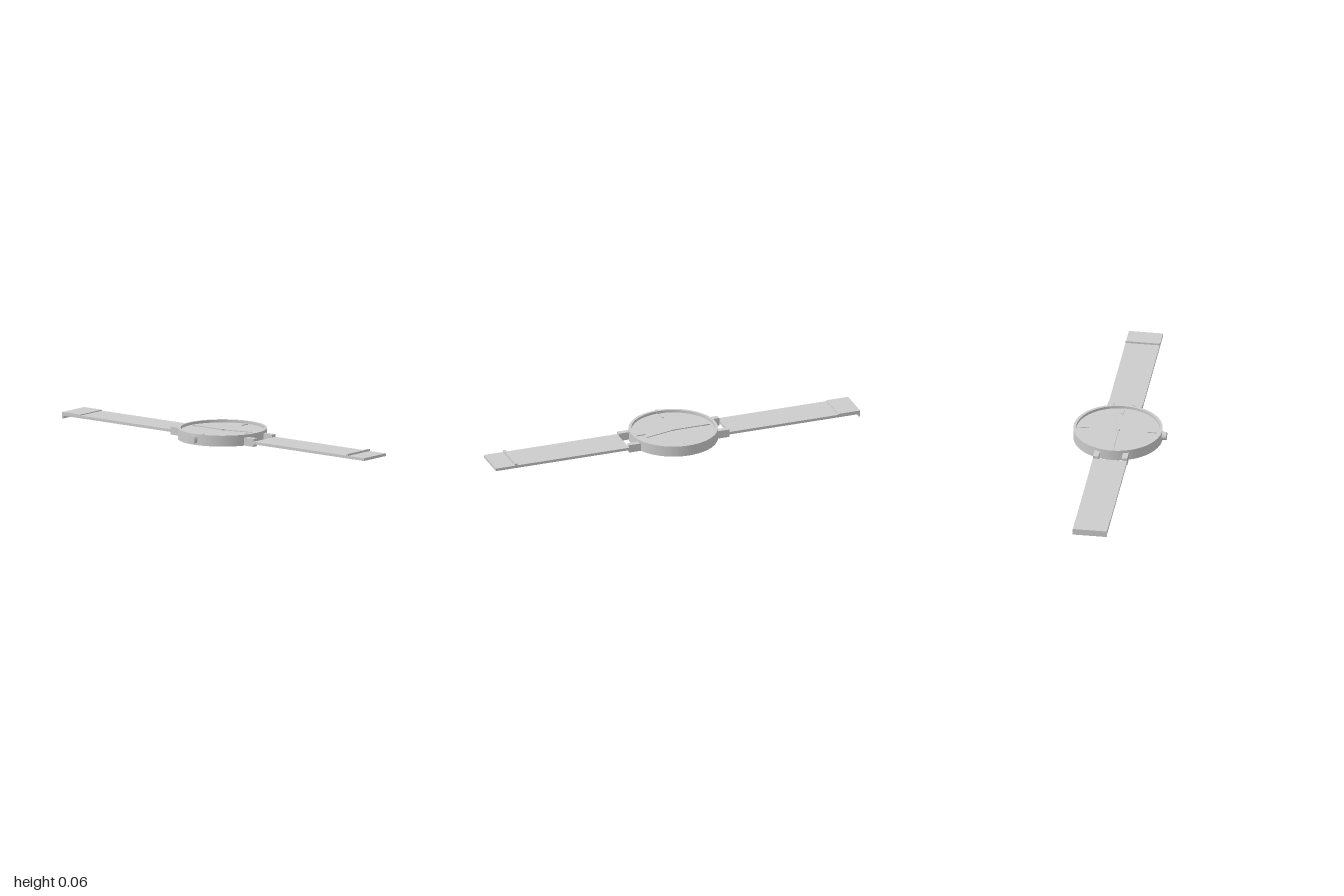
import * as THREE from 'three';

const CX = 0.01, CZ = -0.008;   // centre of the watch case
const DIAL = 0.043;             // height of the dial face

export function createModel() {
  const watch = new THREE.Group();
  watch.name = 'wristwatch';
  const grey = new THREE.MeshStandardMaterial({ color: 0xcccccc });

  const add = (name, geometry, x, y, z, parent = watch) => {
    const mesh = new THREE.Mesh(geometry, grey);
    mesh.name = name;
    mesh.position.set(x, y, z);
    parent.add(mesh);
    return mesh;
  };
  // box given by its limits along each axis
  const box = (name, x0, x1, y0, y1, z0, z1, parent) =>
    add(name, new THREE.BoxGeometry(x1 - x0, y1 - y0, z1 - z0),
      (x0 + x1) / 2, (y0 + y1) / 2, (z0 + z1) / 2, parent);

  // case: solid body with a raised rim around a recessed dial;
  // each straight run is its own lathe so the edges stay sharp
  const profile = [[0, 0], [0.23, 0], [0.23, 0.057], [0.216, 0.057], [0.216, DIAL], [0, DIAL]];
  const caseGroup = new THREE.Group();
  caseGroup.name = 'case';
  caseGroup.position.set(CX, 0, CZ);
  watch.add(caseGroup);
  ['caseBack', 'caseSide', 'rim', 'rimInside', 'dial'].forEach((name, i) => {
    const run = [profile[i], profile[i + 1]].map(p => new THREE.Vector2(...p));
    add(name, new THREE.LatheGeometry(run, 96), 0, 0, 0, caseGroup);
  });

  // crown on the model's right side
  const crown = add('crown', new THREE.CylinderGeometry(0.021, 0.021, 0.04, 32), -0.223, 0.029, CZ);
  crown.rotation.z = Math.PI / 2;

  // hour markers at the four quarters
  for (let i = 0; i < 4; i++) {
    const pivot = new THREE.Group();
    pivot.name = 'hourMarker';
    pivot.rotation.y = i * Math.PI / 2;
    caseGroup.add(pivot);
    box('marker', -0.005, 0.005, DIAL - 0.002, DIAL + 0.005, 0.155, 0.2, pivot);
  }

  // hands and their hub
  const hand = (name, angle, length, top) => {
    const pivot = new THREE.Group();
    pivot.name = name;
    pivot.rotation.y = angle;
    caseGroup.add(pivot);
    box(name + 'Blade', -0.005, 0.005, DIAL + 0.001, top, 0, length, pivot);
  };
  hand('minuteHand', Math.PI, 0.19, DIAL + 0.006);
  hand('hourHand', 0.23, 0.165, DIAL + 0.005);
  add('hub', new THREE.CylinderGeometry(0.01, 0.01, 0.008, 24), 0, DIAL + 0.003, 0, caseGroup);

  // lugs, two at each end of the case
  const L = -0.077, R = 0.101;
  for (const [x0, x1] of [[L, -0.048], [0.073, R]]) {
    box('frontLug', x0, x1, 0.0005, 0.042, 0.19, 0.268);
    box('backLug', x0, x1, 0.0005, 0.042, -0.282, -0.205);
  }

  // straps
  box('frontStrap', L, R, 0.014, 0.028, 0.268, 1);
  box('backStrap', L, R, 0.014, 0.028, -0.99, -0.282);

  // clasp: raised bar in front, hooked end plate at the back
  box('claspBar', L, R, 0.027, 0.038, 0.88, 0.894);
  box('claspPlate', L, R, 0.0145, 0.033, -0.995, -0.88);
  box('claspHook', L, R, 0, 0.033, -1, -0.992);

  return watch;
}
